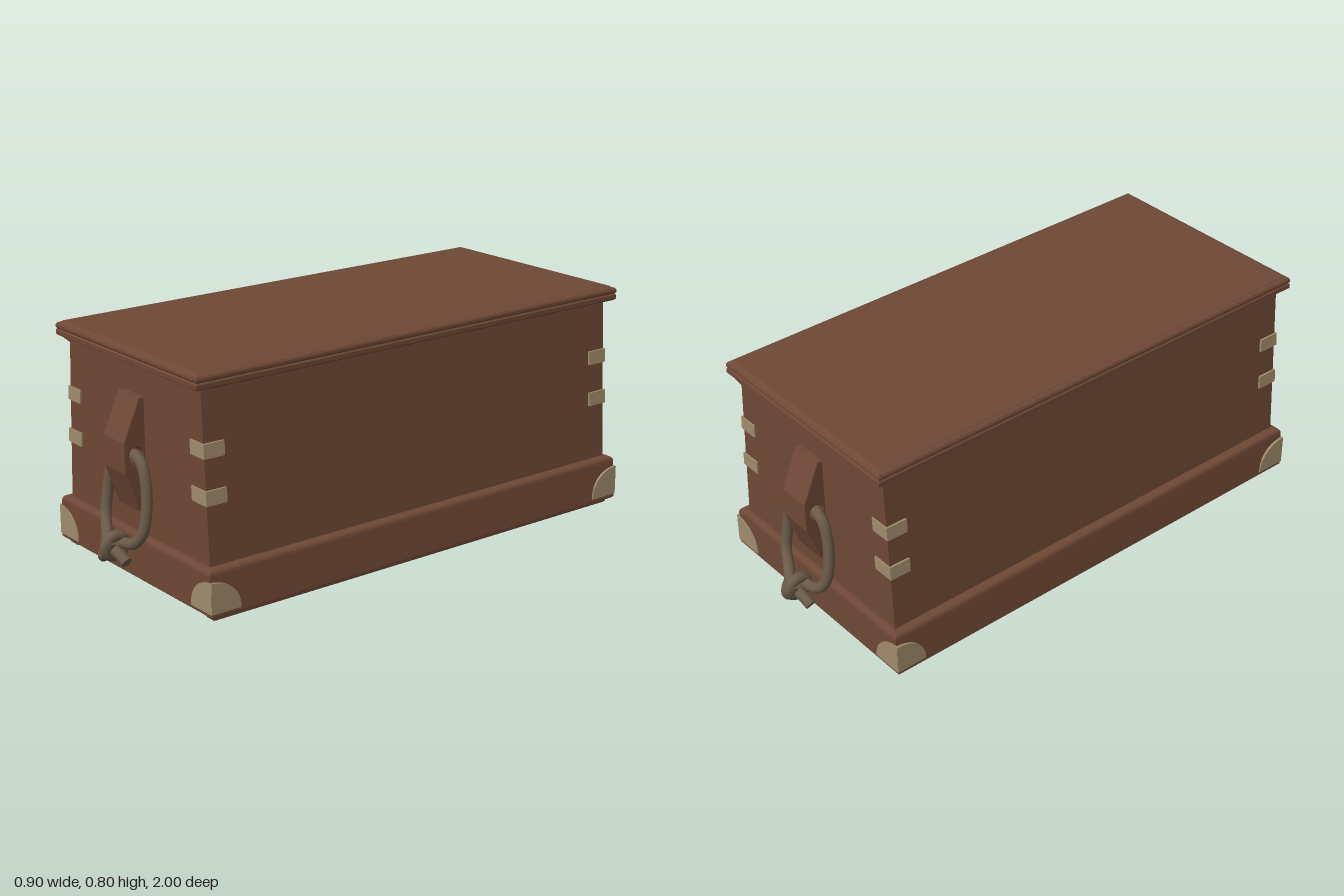
import * as THREE from 'three';

const wood = new THREE.MeshStandardMaterial({ color: 0x6f4835 });
wood.name = 'brown wood';
const ropeMat = new THREE.MeshStandardMaterial({ color: 0x6a5a48 });
ropeMat.name = 'grey brown rope';
const bone = new THREE.MeshStandardMaterial({ color: 0xa08c6c });
bone.name = 'pale inlay';

function part(parent, name, geometry, material) {
  const mesh = new THREE.Mesh(geometry, material);
  mesh.name = name;
  parent.add(mesh);
  return mesh;
}

// Stacks rectangular rings [halfX, halfZ, y] from bottom to top into a closed solid
function ringStack(rings) {
  const corners = rings.map(([x, z, y]) => [[x, y, z], [x, y, -z], [-x, y, -z], [-x, y, z]]);
  const pos = [];
  const quad = (a, b, c, d) => [a, b, c, a, c, d].forEach((p) => pos.push(...p));
  for (let r = 0; r < corners.length - 1; r++) {
    for (let i = 0; i < 4; i++) {
      const j = (i + 1) % 4;
      quad(corners[r][i], corners[r][j], corners[r + 1][j], corners[r + 1][i]);
    }
  }
  const top = corners[corners.length - 1];
  quad(top[0], top[1], top[2], top[3]);
  quad(corners[0][3], corners[0][2], corners[0][1], corners[0][0]);
  const geo = new THREE.BufferGeometry();
  geo.setAttribute('position', new THREE.Float32BufferAttribute(pos, 3));
  geo.computeVertexNormals();
  return geo;
}

const shapeOf = (pts) => new THREE.Shape(pts.map(([x, y]) => new THREE.Vector2(x, y)));

// Quarter ellipse with its right angle at (edge, 0.035), reaching inwards
function quarter(edge, s) {
  const pts = [[edge, 0.035]];
  for (let i = 0; i <= 12; i++) {
    const a = (i / 12) * Math.PI / 2;
    pts.push([edge - s * 0.112 * Math.cos(a), 0.035 + 0.104 * Math.sin(a) ** 0.9]);
  }
  return shapeOf(pts);
}

// Rope tube with flat cut ends
function rope(parent, name, pts) {
  const curve = new THREE.CatmullRomCurve3(pts.map((p) => new THREE.Vector3(...p)));
  part(parent, name, new THREE.TubeGeometry(curve, 100, 0.019, 14), ropeMat);
  [0, 1].forEach((t) => {
    const cap = part(parent, name + 'End', new THREE.CircleGeometry(0.019, 14), ropeMat);
    const dir = curve.getTangentAt(t).multiplyScalar(t ? 1 : -1);
    cap.position.copy(curve.getPointAt(t));
    cap.quaternion.setFromUnitVectors(new THREE.Vector3(0, 0, 1), dir);
  });
}

// Wooden cleat with a knotted rope loop, on the +z end
function makeHandle(name) {
  const g = new THREE.Group();
  g.name = name;
  const side = shapeOf([
    [0.85, 0.268], [0.885, 0.268], [0.932, 0.4], [0.932, 0.5], [0.873, 0.636], [0.85, 0.636],
  ]);
  const hole = new THREE.Path();
  hole.absarc(0.891, 0.452, 0.03, 0, Math.PI * 2, true);
  side.holes.push(hole);
  const cleat = new THREE.ExtrudeGeometry(side, {
    depth: 0.112, bevelSize: 0.004, bevelThickness: 0.004, bevelSegments: 2, curveSegments: 16,
  });
  cleat.rotateY(-Math.PI / 2).translate(0.056, 0, 0);
  part(g, 'cleat', cleat, wood);

  // Loop runs from the knot through the cleat and back, crossing into the tail
  rope(g, 'ropeLoop', [
    [0.01, 0.165, 0.965], [-0.01, 0.118, 0.975], [-0.045, 0.099, 0.962], [-0.066, 0.115, 0.935],
    [-0.04, 0.14, 0.918], [0.02, 0.152, 0.924], [0.075, 0.165, 0.92], [0.107, 0.205, 0.907],
    [0.113, 0.28, 0.893], [0.104, 0.36, 0.886], [0.086, 0.42, 0.885], [0.055, 0.444, 0.885],
    [0, 0.447, 0.886],
    [-0.055, 0.444, 0.885], [-0.088, 0.42, 0.885], [-0.107, 0.36, 0.886], [-0.119, 0.28, 0.893],
    [-0.114, 0.21, 0.907], [-0.08, 0.168, 0.925], [-0.035, 0.146, 0.95], [0.005, 0.135, 0.955],
    [0.04, 0.12, 0.95], [0.068, 0.103, 0.945],
  ]);
  const wrap = new THREE.TorusGeometry(0.035, 0.019, 14, 32);
  wrap.rotateY(Math.PI / 2).rotateZ(-0.12).translate(0, 0.142, 0.946);
  part(g, 'knotWrap', wrap, ropeMat);
  return g;
}

export function createModel() {
  const model = new THREE.Group();
  model.name = 'seaChest';

  // Body tapering in width only
  part(model, 'body', ringStack([[0.417, 0.857, 0.03], [0.379, 0.857, 0.75]]), wood);

  // Base moulding with rounded top edge
  part(model, 'baseMoulding', ringStack([
    [0.445, 0.875, 0.019], [0.45, 0.88, 0.024], [0.449, 0.88, 0.04], [0.441, 0.88, 0.158],
    [0.439, 0.878, 0.166], [0.434, 0.873, 0.172], [0.426, 0.865, 0.175],
  ]), wood);

  // Lid with a beaded rim
  part(model, 'lid', ringStack([
    [0.404, 0.885, 0.745], [0.41, 0.891, 0.75], [0.41, 0.891, 0.764], [0.406, 0.887, 0.769],
    [0.41, 0.891, 0.774], [0.41, 0.891, 0.782], [0.406, 0.887, 0.789], [0.397, 0.878, 0.792],
    [0.392, 0.873, 0.796],
  ]), wood);

  for (const z of [1, -1]) {
    // V-shaped lip hanging from each lid end
    const lip = new THREE.ExtrudeGeometry(
      shapeOf([[-0.381, 0.748], [-0.03, 0.687], [0, 0.683], [0.03, 0.687], [0.381, 0.748]]),
      { depth: 0.04, bevelEnabled: false });
    lip.translate(0, 0, z * 0.868 - 0.02);
    part(model, 'lidEndLip', lip, wood);

    for (const s of [1, -1]) {
      // Inlaid corner straps, sheared to follow the sloping sides
      for (const [y, inner, outer] of [[0.546, 0.322, 0.397], [0.396, 0.325, 0.405]]) {
        const strap = new THREE.BoxGeometry(outer - inner, 0.048, 0.078);
        const p = strap.attributes.position;
        for (let i = 0; i < p.count; i++) p.setX(i, p.getX(i) - s * p.getY(i) * 0.053);
        strap.computeVertexNormals();
        strap.translate(s * (inner + outer) / 2, y, z * 0.823);
        part(model, 'cornerStrap', strap, bone);
      }
      // Quarter-round corner plates on the base
      const opts = { depth: 0.009, bevelEnabled: false };
      const endPlate = new THREE.ExtrudeGeometry(quarter(s * 0.451, s), opts);
      endPlate.translate(0, 0, z * 0.8795 - 0.0045);
      part(model, 'cornerPlateEnd', endPlate, bone);
      const sidePlate = new THREE.ExtrudeGeometry(quarter(z * 0.883, z), opts);
      sidePlate.rotateY(-Math.PI / 2).translate(s * 0.448 + 0.0045, 0, 0);
      part(model, 'cornerPlateSide', sidePlate, bone);
    }
  }

  // Runners under the long sides
  for (const s of [1, -1]) {
    const runner = part(model, 'runner', ringStack([
      [0.015, 0.855, 0], [0.02, 0.86, 0.005], [0.02, 0.86, 0.024],
    ]), wood);
    runner.position.x = s * 0.408;
  }

  // Rope handles on both ends
  model.add(makeHandle('frontHandle'));
  const back = makeHandle('backHandle');
  back.rotation.y = Math.PI;
  model.add(back);
  return model;
}
